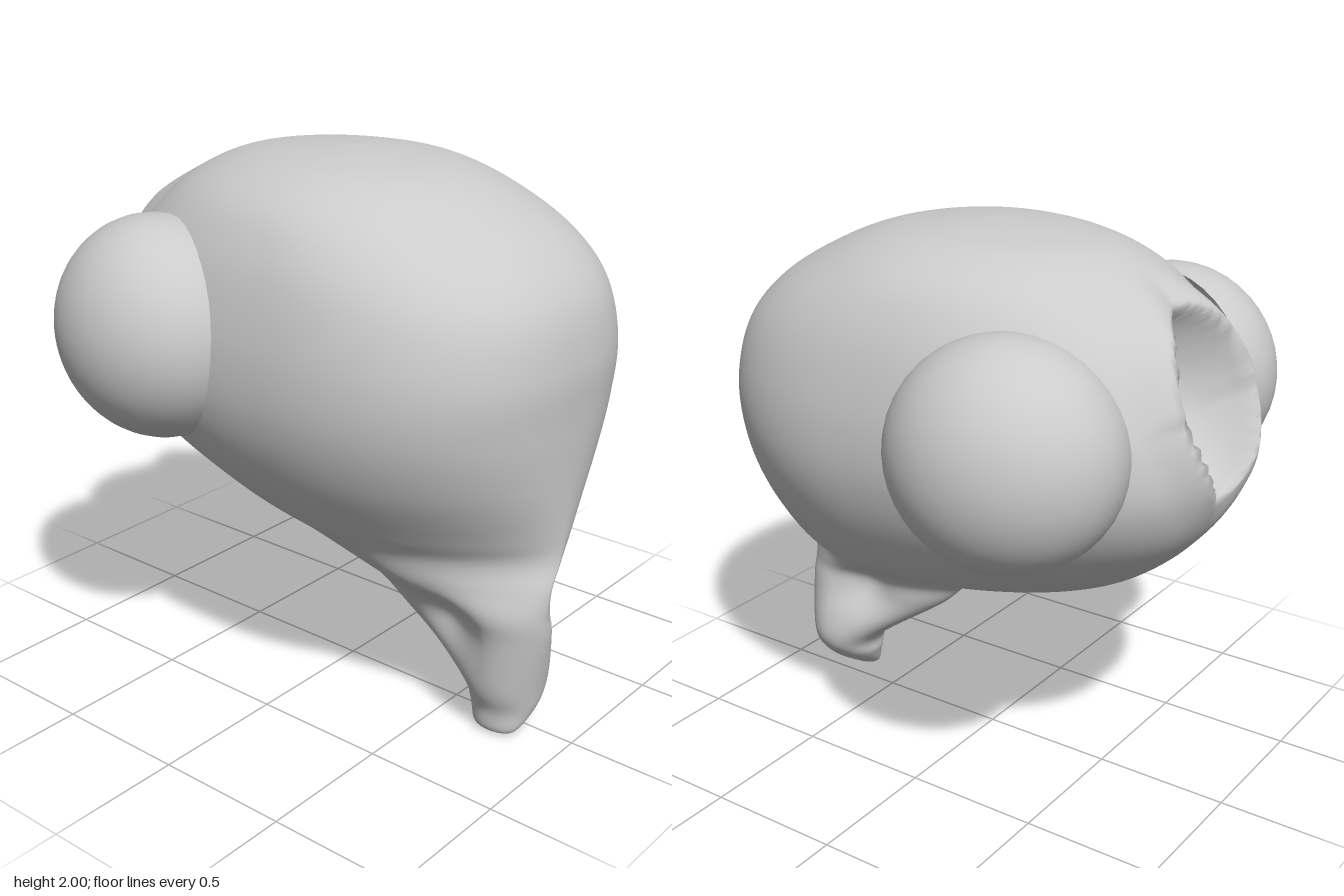
import * as THREE from 'three';

// Horizontal sections:
// [y, front z, widest z, back z, half width, centre x, front roundness, back roundness]
const SECTIONS = [
  [0.00, 0.76, 0.73, 0.70, 0.01, -0.09, 2, 2],
  [0.02, 0.82, 0.73, 0.65, 0.05, -0.09, 2, 2],
  [0.10, 0.86, 0.73, 0.61, 0.11, -0.04, 2, 2],
  [0.20, 0.88, 0.73, 0.57, 0.155, -0.03, 2, 2],
  [0.40, 0.915, 0.74, 0.29, 0.15, -0.06, 1.8, 1.8],
  [0.50, 0.92, 0.68, 0.18, 0.17, -0.08, 1.7, 1.8],
  [0.60, 0.925, 0.48, 0.02, 0.25, -0.07, 1.45, 1.8],
  [0.70, 0.925, 0.34, -0.32, 0.37, -0.02, 1.45, 1.8],
  [0.80, 0.93, 0.25, -0.61, 0.48, 0, 1.65, 1.9],
  [1.00, 0.94, 0.17, -0.85, 0.61, 0, 2.05, 2.2],
  [1.20, 0.95, 0.15, -0.94, 0.675, 0, 2.3, 2.5],
  [1.40, 0.955, 0.14, -0.93, 0.68, 0, 2.4, 2.6],
  [1.60, 0.91, 0.13, -0.85, 0.64, 0, 2.35, 2.5],
  [1.75, 0.79, 0.10, -0.75, 0.58, 0, 2.2, 2.3],
  [1.87, 0.60, 0.05, -0.62, 0.49, 0, 2, 2.1],
  [1.95, 0.40, 0.02, -0.45, 0.35, 0, 2, 2],
  [1.985, 0.19, 0.01, -0.24, 0.19, 0, 2, 2],
  [2.00, 0.01, 0, -0.01, 0.01, 0, 2, 2],
];

// Bowl-shaped socket sunk into the upper back
const SOCKET = new THREE.Vector3(-0.02, 1.5, -0.88);
const SOCKET_OUT = new THREE.Vector3(0, 0.41, -0.91).normalize();
const SOCKET_UP = new THREE.Vector3(0, 0.91, 0.41).normalize();

function sinkSocket(p) {
  if (p.z > -0.3) return;
  const d = p.clone().sub(SOCKET);
  const v = d.dot(SOCKET_UP);
  const r = Math.hypot(d.x / (v < 0 ? 0.25 + v * 0.12 : 0.25), v / 0.32);
  // raised lips at both sides, with a notch at the middle of the lower rim
  const fade = THREE.MathUtils.smoothstep(1.6 - Math.abs(r - 1), 1, 1.6);
  const lip = 0.06 * Math.min(1, Math.abs(d.x) / 0.18) - (v < 0 ? 0.025 : 0.01);
  const bowl = r < 1 ? 0.25 * Math.pow(1 - r * r, 0.75) : 0;
  p.addScaledVector(SOCKET_OUT, lip * fade - bowl);
}

// Shallow hollows on both sides of the stalk, behind its front column
function pinchStalk(p, centreX) {
  const dy = (p.y - 0.43) / 0.1;
  const dz = (p.z - 0.57) / 0.12;
  p.x = centreX + (p.x - centreX) * (1 - 0.4 * Math.exp(-dy * dy - dz * dz));
}

function createBodyGeometry(perSection = 10, around = 176) {
  const spline = new THREE.CubicInterpolant(
    SECTIONS.map((_, i) => i), SECTIONS.flat(), 8, new Float32Array(8));
  const rows = (SECTIONS.length - 1) * perSection;
  const positions = [];
  const indices = [];
  const signedPow = (v, e) => Math.sign(v) * Math.pow(Math.abs(v), e);
  const p = new THREE.Vector3();
  for (let i = 0; i <= rows; i++) {
    const [y, front, mid, back, half, cx, nFront, nBack] = spline.evaluate(i / perSection);
    for (let j = 0; j < around; j++) {
      const a = (j / around) * Math.PI * 2;
      const e = 2 / (Math.sin(a) > 0 ? nFront : nBack);
      const s = signedPow(Math.sin(a), e);
      p.set(cx + half * signedPow(Math.cos(a), e), y,
        mid + s * (s > 0 ? front - mid : mid - back));
      sinkSocket(p);
      pinchStalk(p, cx);
      positions.push(p.x, p.y, p.z);
      if (i < rows) {
        const k = i * around + j;
        const l = i * around + (j + 1) % around;
        indices.push(k, k + around, l, l, k + around, l + around);
      }
    }
  }
  // close the two tiny end rings
  const top = rows * around;
  for (let j = 1; j < around - 1; j++) {
    indices.push(0, j, j + 1, top, top + j + 1, top + j);
  }
  const geometry = new THREE.BufferGeometry();
  geometry.setAttribute('position', new THREE.Float32BufferAttribute(positions, 3));
  geometry.setIndex(indices);
  geometry.computeVertexNormals();
  return geometry;
}

export function createModel() {
  const model = new THREE.Group();
  const material = new THREE.MeshStandardMaterial({ color: 0xcccccc, side: THREE.DoubleSide });

  // Rounded body flowing down into the front stalk
  const body = new THREE.Mesh(createBodyGeometry(), material);
  body.name = 'bodyWithStalk';
  model.add(body);

  // Domed side lobes, open where they sink into the body
  const dome = new THREE.SphereGeometry(1, 40, 24, 0, Math.PI * 2, 0, Math.PI * 0.56);
  dome.rotateZ(-Math.PI / 2);
  dome.scale(0.35, 0.395, 0.405);
  for (const side of [1, -1]) {
    const lobe = new THREE.Mesh(dome, material);
    lobe.name = side > 0 ? 'leftLobe' : 'rightLobe';
    lobe.position.set(side * 0.545, 1.39, -0.43);
    lobe.rotation.y = side > 0 ? 0.2 : Math.PI - 0.2;
    model.add(lobe);
  }
  return model;
}
